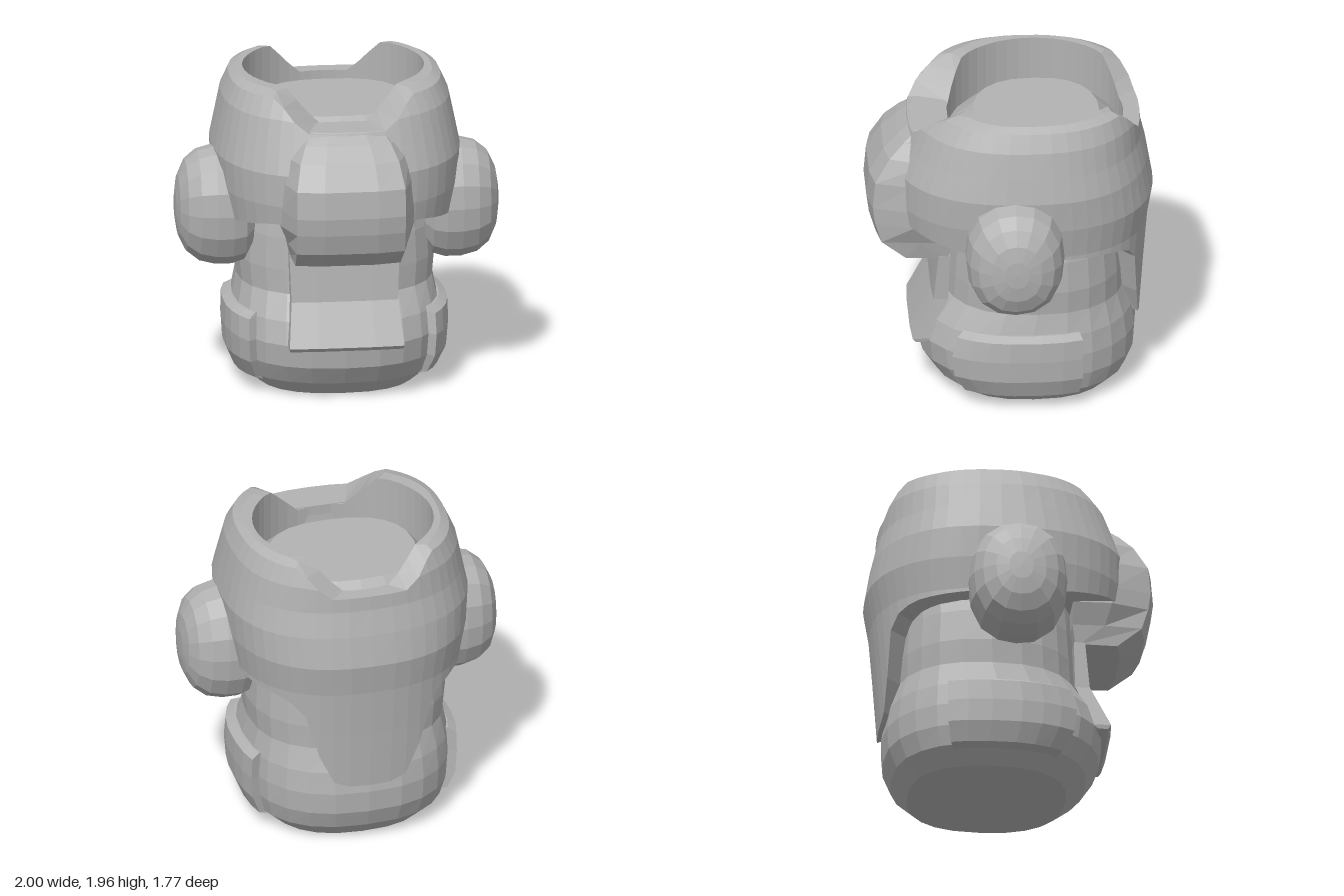
import * as THREE from 'three';

const grey = new THREE.MeshStandardMaterial({ color: 0xb2b2b2, flatShading: true });
grey.name = 'plain grey';

// Skin rings of [x, y, z] points; either cap both ends or join the last ring to the first
function loft(rings, joined = false) {
  const pos = [], n = rings[0].length;
  const tri = (a, b, c) => pos.push(...a, ...b, ...c);
  const steps = joined ? rings.length : rings.length - 1;
  for (let i = 0; i < steps; i++) {
    const lo = rings[i], hi = rings[(i + 1) % rings.length];
    for (let j = 0; j < n; j++) {
      const k = (j + 1) % n;
      tri(lo[j], lo[k], hi[k]);
      tri(lo[j], hi[k], hi[j]);
    }
  }
  if (!joined) {
    [rings[0], rings[rings.length - 1]].forEach((ring, end) => {
      const c = [0, 1, 2].map(a => ring.reduce((s, p) => s + p[a], 0) / n);
      for (let j = 0; j < n; j++) {
        const k = (j + 1) % n;
        if (end) tri(c, ring[j], ring[k]); else tri(c, ring[k], ring[j]);
      }
    });
  }
  const g = new THREE.BufferGeometry();
  g.setAttribute('position', new THREE.Float32BufferAttribute(pos, 3));
  g.computeVertexNormals();
  return g;
}

// Linear lookup in a table of rows [key, value, value...]
function sample(table, key, col = 1) {
  if (key <= table[0][0]) return table[0][col];
  for (let i = 1; i < table.length; i++) {
    const a = table[i - 1], b = table[i];
    if (key <= b[0]) return a[col] + (b[col] - a[col]) * (key - a[0]) / (b[0] - a[0]);
  }
  return table[table.length - 1][col];
}

// Rounded-square outline: squared-off sine and cosine
const square = v => Math.sign(v) * Math.abs(v) ** 0.82;
const sx = a => square(Math.sin(a));
const cz = a => square(Math.cos(a));

// Body sections: height, half width, centre z, half depth
const BODY = [
  [0, 0.49, -0.13, 0.49], [0.1, 0.6, -0.12, 0.6], [0.22, 0.635, -0.105, 0.665],
  [0.36, 0.645, -0.1, 0.68], [0.5, 0.635, -0.115, 0.645], [0.65, 0.605, -0.145, 0.565],
  [0.8, 0.62, -0.15, 0.56], [1.0, 0.61, -0.15, 0.545], [1.2, 0.56, -0.16, 0.54],
  [1.62, 0.54, -0.16, 0.53], [1.74, 0.45, -0.17, 0.39],
];
const bodyPoint = (y, a, grow = 0) => [
  sx(a) * (sample(BODY, y, 1) + grow), y,
  sample(BODY, y, 2) + cz(a) * (sample(BODY, y, 3) + grow),
];

function bodyGeometry() {
  const n = 24;
  return loft(BODY.map(([y]) =>
    Array.from({ length: n }, (_, j) => bodyPoint(y, (j / n) * Math.PI * 2))));
}

// Raised plate wrapped round the lower body between two angles
function plateGeometry(a0, a1) {
  const rows = [[0.08, 0.005], [0.1, 0.035], [0.22, 0.05], [0.36, 0.05], [0.49, 0.055], [0.52, 0.01]];
  return loft(rows.map(([y, grow]) => {
    const ring = [];
    for (let i = 0; i <= 6; i++) ring.push(bodyPoint(y, a0 + (a1 - a0) * i / 6, grow));
    ring.push(bodyPoint(y, a1, -0.1), bodyPoint(y, a0, -0.1));
    return ring;
  }));
}

// Shell: height, radius, forward stretch, backward stretch
const SHELL = [
  [0.42, 0.685, 1.1, 1.02], [0.8, 0.705, 1.1, 1.03], [1.1, 0.715, 1.13, 1.05],
  [1.3, 0.75, 1.11, 1.045], [1.5, 0.765, 1.08, 0.98], [1.66, 0.733, 1.04, 0.97],
  [1.82, 0.7, 1, 1], [1.93, 0.65, 0.95, 1.03], [1.96, 0.6, 0.83, 1],
];
// Lower edge height by angle from the front, with the long flap at the back
const HEM = [
  [0, 1.2], [0.61, 1.18], [1.33, 1.1], [2.25, 1.06], [2.45, 1.03], [2.6, 0.97],
  [2.7, 0.77], [2.78, 0.57], [2.88, 0.46], [3.0, 0.425], [Math.PI, 0.42],
];
// Upper edge height by distance from the middle, dipping front and back
const RIM = [[0.22, 1.75], [0.3, 1.83], [0.42, 1.96]];

function shellGeometry() {
  const n = 48;
  const angles = Array.from({ length: n }, (_, j) => (j / n) * Math.PI * 2);
  const hem = a => sample(HEM, Math.min(a, Math.PI * 2 - a));
  const rim = a => sample(RIM, Math.abs(sx(a)) * 0.62);
  const outer = (a, level) => {
    const y = Math.min(Math.max(level, hem(a)), rim(a));
    const r = sample(SHELL, y), c = cz(a);
    return [sx(a) * r, y, -0.1 + c * r * sample(SHELL, y, c > 0 ? 2 : 3)];
  };
  const inner = (a, y) => [Math.sin(a) * 0.56, y, -0.16 + Math.cos(a) * 0.545];
  const levels = [0.42, 0.6, 0.8, 1.0, 1.1, 1.3, 1.5, 1.66, 1.82, 1.93, 1.96];
  return loft([
    ...levels.map(l => angles.map(a => outer(a, l))),
    angles.map(a => inner(a, rim(a))),
    angles.map(a => inner(a, hem(a))),
  ], true);
}

// Front block from rows of height, half width, front z, back z, sideways flare
function frontBlock(rows, bow) {
  return loft(rows.map(([y, w, z, back, flare]) => {
    const mid = Math.max(back + 0.01, z - 0.26);
    return [
      [-w - flare, y, back], [-w - flare, y, mid], [-w, y, z - bow], [-w / 2, y, z],
      [w / 2, y, z], [w, y, z - bow], [w + flare, y, mid], [w + flare, y, back],
    ];
  }));
}

function earGeometry() {
  const profile = [
    [0.01, 0.48], [0.27, 0.53], [0.345, 0.58], [0.37, 0.66], [0.37, 0.76], [0.345, 0.86],
    [0.285, 0.935], [0.19, 0.98], [0.09, 0.997], [0, 1],
  ];
  const g = new THREE.LatheGeometry(profile.map(p => new THREE.Vector2(...p)), 16);
  g.rotateZ(-Math.PI / 2);
  // Square off the round outline a little
  const p = g.attributes.position;
  for (let i = 0; i < p.count; i++) {
    const y = p.getY(i), z = p.getZ(i), r = Math.hypot(y, z);
    if (r < 1e-4) continue;
    const f = 1 + 0.05 * (2 * y * z / (r * r)) ** 2;
    p.setXYZ(i, p.getX(i), y * f, z * f * 0.82);
  }
  const flat = g.toNonIndexed();
  flat.computeVertexNormals();
  return flat;
}

export function createModel() {
  const model = new THREE.Group();
  model.name = 'helmetedFigure';
  const add = (name, geometry) => {
    const mesh = new THREE.Mesh(geometry, grey);
    mesh.name = name;
    model.add(mesh);
    return mesh;
  };

  add('body', bodyGeometry());
  add('helmetShell', shellGeometry());

  // Bulging brow block over the face
  add('visor', frontBlock([
    [0.92, 0.325, 0.68, 0.39, 0.01], [1.04, 0.335, 0.83, 0.37, 0.025],
    [1.17, 0.335, 0.87, 0.37, 0.08], [1.28, 0.335, 0.885, 0.37, 0.08],
    [1.45, 0.335, 0.87, 0.37, 0.07], [1.6, 0.305, 0.78, 0.37, 0.09],
    [1.69, 0.265, 0.69, 0.38, 0.09], [1.755, 0.22, 0.61, 0.38, 0.04],
  ], 0.03));

  // Bib hanging below the visor
  add('chestPanel', frontBlock([
    [0.345, 0.35, 0.6, 0.53, 0], [0.37, 0.355, 0.62, 0.5, 0],
    [0.63, 0.33, 0.49, 0.39, 0], [0.93, 0.34, 0.46, 0.38, 0],
  ], 0.01));

  // Paired side parts
  add('leftHipPlate', plateGeometry(0.93, 1.95));
  add('rightHipPlate', plateGeometry(-1.95, -0.93));
  for (const side of [1, -1]) {
    const ear = add(side > 0 ? 'leftEarDome' : 'rightEarDome', earGeometry());
    ear.position.y = 1.135;
    if (side < 0) ear.rotation.y = Math.PI;
  }
  return model;
}
